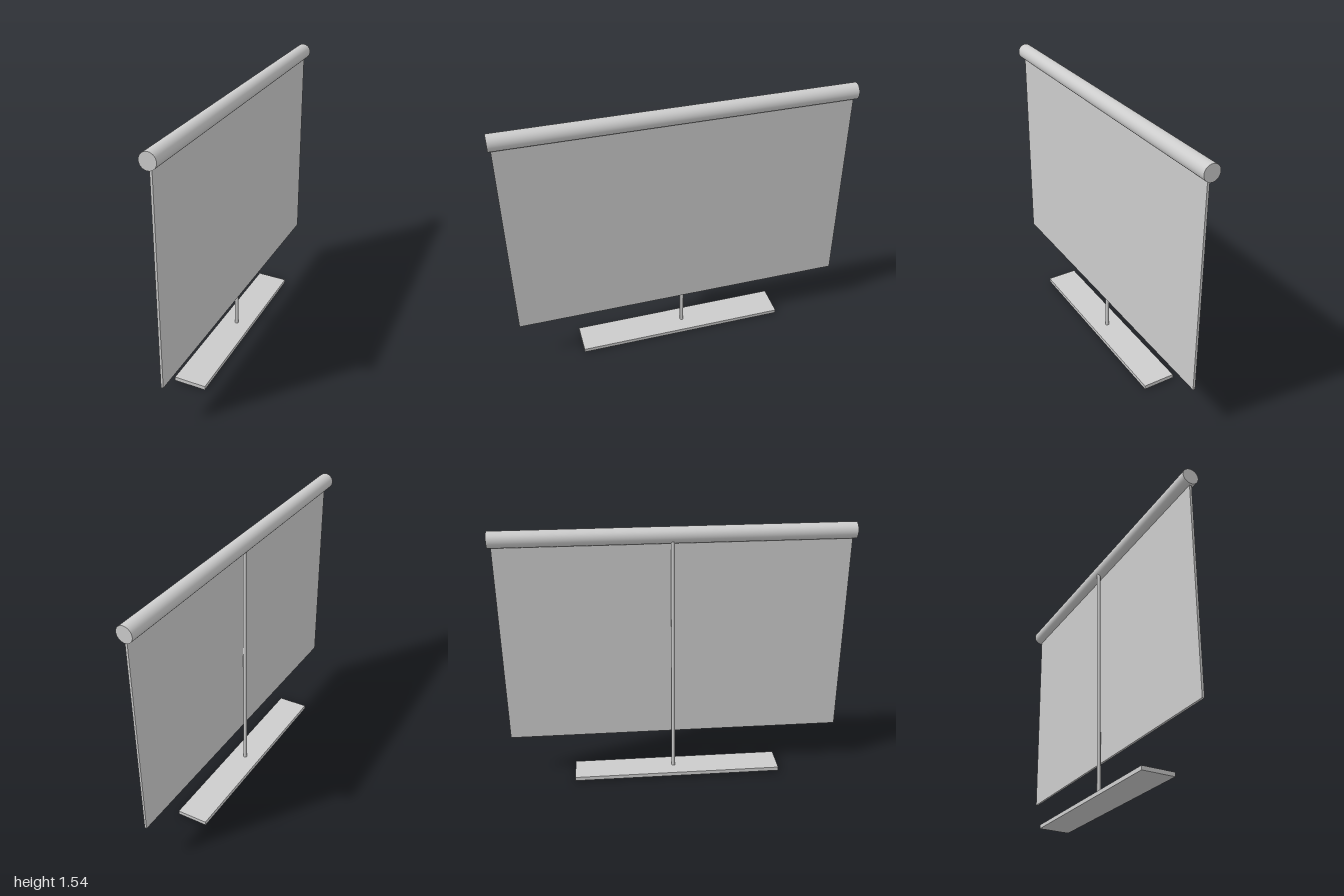
import * as THREE from 'three';

export function createModel() {
  const model = new THREE.Group();
  model.name = 'projectionScreen';
  const material = new THREE.MeshStandardMaterial({ color: 0xcccccc });

  const add = (name, geometry, x, y, z) => {
    const mesh = new THREE.Mesh(geometry, material);
    mesh.name = name;
    mesh.position.set(x, y, z);
    model.add(mesh);
    return mesh;
  };

  // Roller housing along the top, lying along z
  const roller = add('rollerTube', new THREE.CylinderGeometry(0.046, 0.046, 2, 48), 0.025, 1.494, 0);
  roller.rotation.x = Math.PI / 2;

  // Hanging screen sheet, its upper edge tucked into the roller
  const screenTop = 1.47, screenBottom = 0.26;
  add('screen', new THREE.BoxGeometry(0.013, screenTop - screenBottom, 1.97),
    0.031, (screenTop + screenBottom) / 2, 0);

  // Slim pole behind the screen
  const poleTop = 1.47, poleBottom = 0.02;
  add('pole', new THREE.CylinderGeometry(0.011, 0.011, poleTop - poleBottom, 24),
    -0.001, (poleTop + poleBottom) / 2, -0.012);

  // Flat foot plate, tipped very slightly towards the screen side
  const base = add('base', new THREE.BoxGeometry(0.185, 0.023, 1.24), -0.002, 0.0163, 0.007);
  base.rotation.z = -0.04;

  return model;
}
